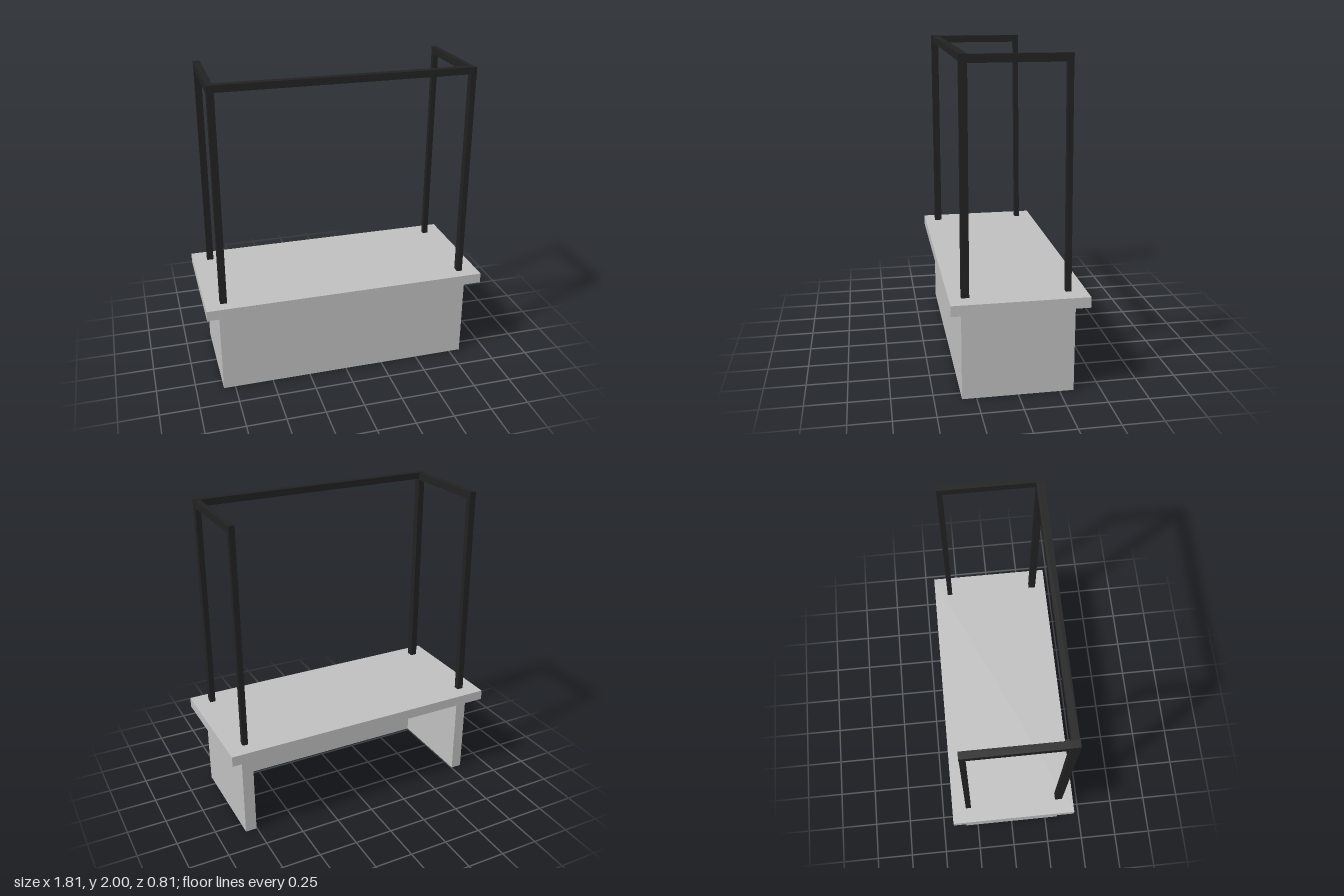
import * as THREE from 'three';

export function createModel() {
  const model = new THREE.Group();
  const grey = new THREE.MeshStandardMaterial({ color: 0xc0c0c0 });
  grey.name = 'counterGrey';
  const black = new THREE.MeshStandardMaterial({ color: 0x222222 });
  black.name = 'frameBlack';

  // box between min/max limits; lean shifts the upper end in z
  function block(name, material, [x0, x1], [y0, y1], [z0, z1], lean = 0) {
    const geo = new THREE.BoxGeometry(x1 - x0, y1 - y0, z1 - z0);
    geo.translate((x0 + x1) / 2, (y0 + y1) / 2, (z0 + z1) / 2);
    if (lean) {
      const p = geo.attributes.position;
      for (let i = 0; i < p.count; i++) {
        if (p.getY(i) > (y0 + y1) / 2) p.setZ(i, p.getZ(i) + lean);
      }
      geo.computeVertexNormals();
    }
    const mesh = new THREE.Mesh(geo, material);
    mesh.name = name;
    model.add(mesh);
  }

  // counter, open at the back and underneath
  block('counterTop', grey, [-0.907, 0.907], [0.56, 0.625], [-0.405, 0.405]);
  block('frontPanel', grey, [-0.825, 0.825], [0, 0.56], [0.265, 0.337]);
  block('leftPanel', grey, [0.753, 0.825], [0, 0.56], [-0.337, 0.265]);
  block('rightPanel', grey, [-0.825, -0.753], [0, 0.56], [-0.337, 0.265]);

  // overhead frame: upright front posts, back posts leaning forward
  for (const [side, x] of [['left', [0.77, 0.804]], ['right', [-0.812, -0.77]]]) {
    block(side + 'FrontPost', black, x, [0.625, 2], [0.286, 0.333]);
    block(side + 'BackPost', black, x, [0.625, 1.95], [-0.314, -0.28], 0.018);
    block(side + 'TopRail', black, x, [1.95, 1.997], [-0.297, 0.286]);
  }
  block('frontTopRail', black, [-0.77, 0.77], [1.958, 2], [0.284, 0.331]);

  return model;
}
